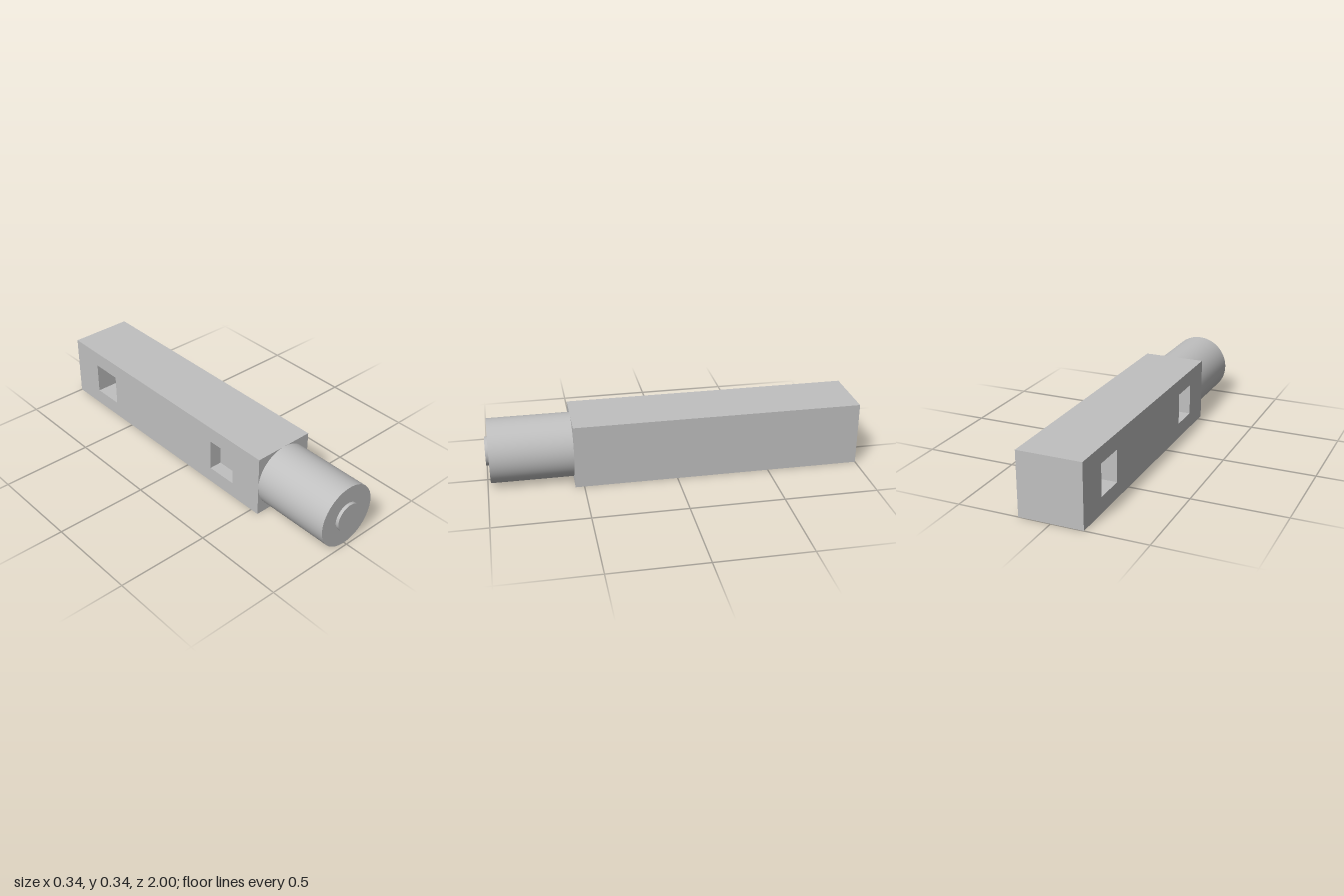
import * as THREE from 'three';
import { mergeGeometries } from 'three/addons/utils/BufferGeometryUtils.js';

const SIZE = 0.344, HALF = SIZE / 2;
const BACK = -1, SHOULDER = 0.547, NOSE = 0.983, TIP = 1;

// Pockets cut into the -x side: z range and depth
const POCKETS = [
  { z0: -0.81, z1: -0.635, depth: 0.172 },
  { z0: 0.185, z1: 0.357, depth: 0.07 },
];
const POCKET_Y0 = 0.086, POCKET_Y1 = 0.258;

// Box spanning the given ranges with its -x face left out
function openBox(x0, x1, y0, y1, z0, z1) {
  const g = new THREE.BoxGeometry(x1 - x0, y1 - y0, z1 - z0);
  const index = Array.from(g.index.array);
  index.splice(6, 6);
  g.setIndex(index);
  g.clearGroups();
  return g.translate((x0 + x1) / 2, (y0 + y1) / 2, (z0 + z1) / 2);
}

// Turn a geometry inside out, for pocket walls
function invert(g) {
  g.setIndex(Array.from(g.index.array).reverse());
  const n = g.attributes.normal;
  for (let i = 0; i < n.count; i++) n.setXYZ(i, -n.getX(i), -n.getY(i), -n.getZ(i));
  return g;
}

function rectangle(Type, z0, z1, y0, y1) {
  const p = new Type();
  p.moveTo(z0, y0);
  p.lineTo(z1, y0);
  p.lineTo(z1, y1);
  p.lineTo(z0, y1);
  p.closePath();
  return p;
}

// Square bar with pockets in one side
function bodyGeometry() {
  const side = rectangle(THREE.Shape, BACK, SHOULDER, 0, SIZE);
  const parts = [openBox(-HALF, HALF, 0, SIZE, BACK, SHOULDER)];
  for (const { z0, z1, depth } of POCKETS) {
    side.holes.push(rectangle(THREE.Path, z0, z1, POCKET_Y0, POCKET_Y1));
    parts.push(invert(openBox(-HALF, -HALF + depth, POCKET_Y0, POCKET_Y1, z0, z1)));
  }
  parts.push(new THREE.ShapeGeometry(side).rotateY(-Math.PI / 2).translate(-HALF, 0, 0));
  return mergeGeometries(parts);
}

// Cylinder along z
function rod(radius, z0, z1) {
  return new THREE.CylinderGeometry(radius, radius, z1 - z0, 72)
    .rotateX(Math.PI / 2)
    .translate(0, HALF, (z0 + z1) / 2);
}

export function createModel() {
  const grey = new THREE.MeshStandardMaterial({ color: 0xc0c0c0 });
  grey.name = 'grey';
  const model = new THREE.Group();
  const add = (name, geometry) => {
    const mesh = new THREE.Mesh(geometry, grey);
    mesh.name = name;
    model.add(mesh);
  };
  add('body', bodyGeometry());
  add('roundNeck', rod(HALF, SHOULDER, NOSE));
  add('endButton', rod(0.077, NOSE, TIP));
  return model;
}
